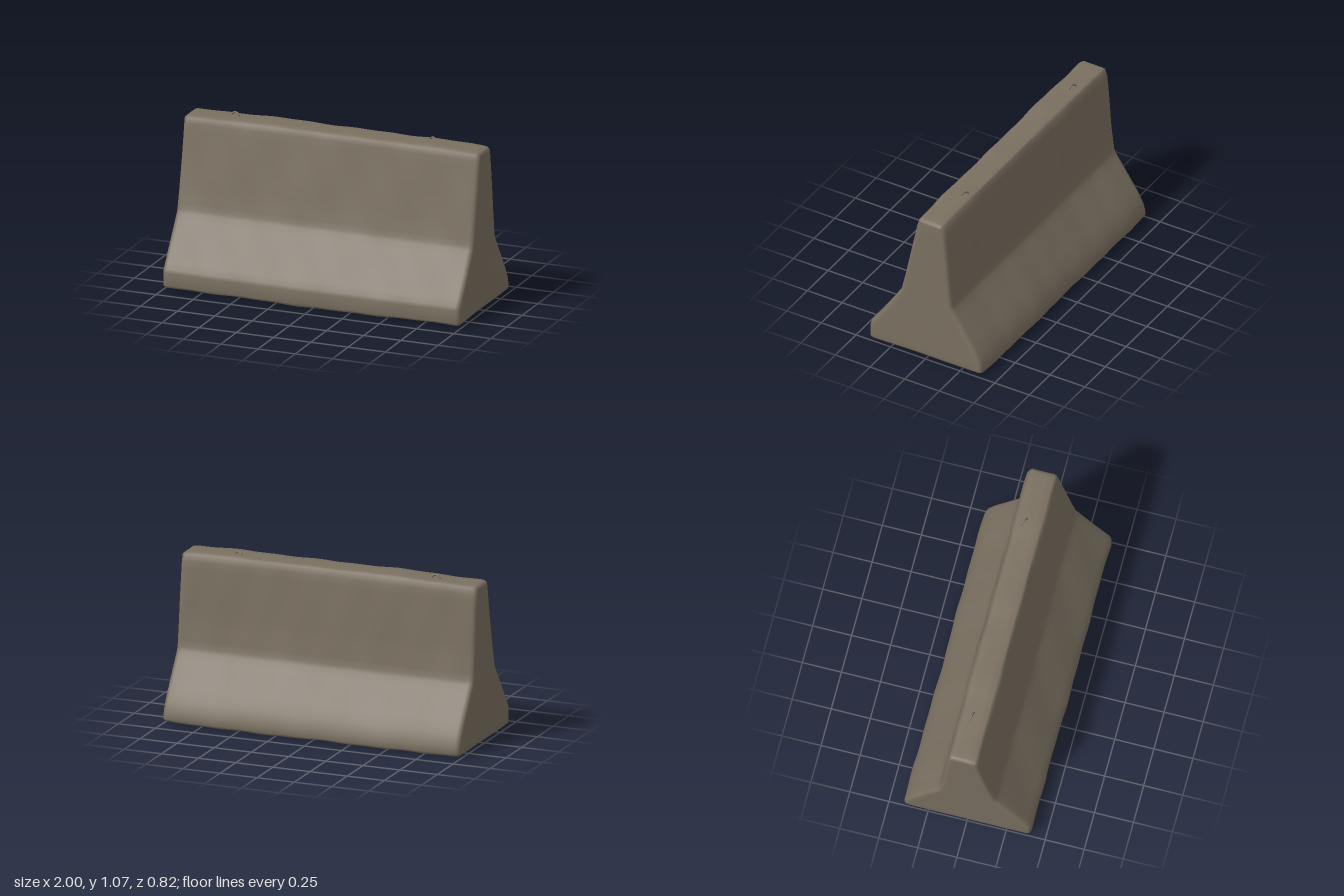
import * as THREE from 'three';

const concrete = new THREE.MeshStandardMaterial({ color: 0x7a7061 });
concrete.name = 'weathered concrete';

// Cross-section corners as [z, y], from the front foot over the top to the back foot
const PROFILE = [
  [0.375, 0.014], [0.397, 0.02], [0.406, 0.036], [0.405, 0.115], [0.397, 0.14],
  [0.192, 0.445], [0.18, 0.47], [0.155, 0.575], [0.072, 0.99], [0.062, 1.025], [0.046, 1.038],
  [-0.102, 1.038], [-0.117, 1.028], [-0.13, 0.985], [-0.147, 0.8], [-0.162, 0.62],
  [-0.183, 0.45], [-0.196, 0.42], [-0.35, 0.19], [-0.39, 0.115], [-0.403, 0.07],
  [-0.407, 0.035], [-0.396, 0.02], [-0.375, 0.013],
];

// Split long edges so the surface can be worn, then add outward normals
function sectionPoints() {
  const pts = [];
  PROFILE.forEach(([z, y], i) => {
    const [z2, y2] = PROFILE[(i + 1) % PROFILE.length];
    const n = Math.ceil(Math.hypot(z2 - z, y2 - y) / 0.05);
    for (let k = 0; k < n; k++) pts.push({ z: z + (z2 - z) * k / n, y: y + (y2 - y) * k / n });
  });
  const m = pts.length;
  pts.forEach((p, i) => {
    const a = pts[(i + m - 1) % m], b = pts[(i + 1) % m];
    const len = Math.hypot(b.y - a.y, b.z - a.z);
    p.nz = (b.y - a.y) / len;
    p.ny = -(b.z - a.z) / len;
  });
  return pts;
}

// Gentle unevenness of the cast surface
function wear(x, y, z) {
  return 0.0025 * Math.sin(5.1 * x + 4 * y + 3 * z)
    + 0.002 * Math.sin(11.3 * x - 7 * y + 5 * z + 1)
    + 0.0015 * Math.sin(23 * x + 9 * y - 11 * z + 2);
}

function barrierGeometry() {
  // Stations along x: [x, edge inset, scale towards the middle]
  const end = [[1, 0.024, 0], [1, 0.024, 0.5], [1, 0.024, 0.9], [0.999, 0.022, 1],
    [0.995, 0.012, 1], [0.986, 0.004, 1], [0.97, 0, 1]];
  const stations = end.map(([x, i, s]) => [-x, i, s]);
  for (let i = 1; i < 48; i++) stations.push([-0.97 + 1.94 * i / 48, 0, 1]);
  stations.push(...end.slice().reverse());

  const pts = sectionPoints(), m = pts.length;
  const pos = [], index = [];
  stations.forEach(([x, inset, scale], i) => {
    pts.forEach((p, j) => {
      const d = wear(x, p.y, p.z) - inset;
      const crown = 0.008 * (1 - x * x) * (p.y > 0.5 ? 2 * p.y - 1 : 2 * p.y - 1);
      const z = (p.z + p.nz * d) * scale;
      const y = 0.4 + (p.y + p.ny * d + crown - 0.4) * scale;
      // The +x end leans in slightly towards the top
      pos.push(x > 0 ? x * (1 - 0.009 * y) : x, y, z);
      if (i === stations.length - 1) return;
      const a = i * m + j, b = i * m + (j + 1) % m;
      index.push(a, a + m, b + m, a, b + m, b);
    });
  });
  const geo = new THREE.BufferGeometry();
  geo.setAttribute('position', new THREE.Float32BufferAttribute(pos, 3));
  geo.setIndex(index);
  geo.computeVertexNormals();
  geo.computeBoundingBox();
  geo.translate(0, -geo.boundingBox.min.y, 0);
  return geo;
}

// Bent bar with its feet sunk into the top
function liftingLoop(x, z, turn) {
  const path = new THREE.CatmullRomCurve3([
    [-0.031, -0.03], [-0.031, 0.004], [-0.022, 0.025], [0, 0.034],
    [0.022, 0.025], [0.031, 0.004], [0.031, -0.03],
  ].map(([px, py]) => new THREE.Vector3(px, py, 0)));
  const loop = new THREE.Mesh(new THREE.TubeGeometry(path, 24, 0.006, 8), concrete);
  loop.position.set(x, 1.029, z);
  loop.rotation.y = turn;
  return loop;
}

export function createModel() {
  const group = new THREE.Group();
  group.name = 'concreteBarrier';

  const body = new THREE.Mesh(barrierGeometry(), concrete);
  body.name = 'barrierBody';
  group.add(body);

  const loopA = liftingLoop(-0.695, -0.048, -0.25);
  loopA.name = 'rightLiftingLoop';
  const loopB = liftingLoop(0.627, -0.06, -0.5);
  loopB.name = 'leftLiftingLoop';
  group.add(loopA, loopB);
  return group;
}
